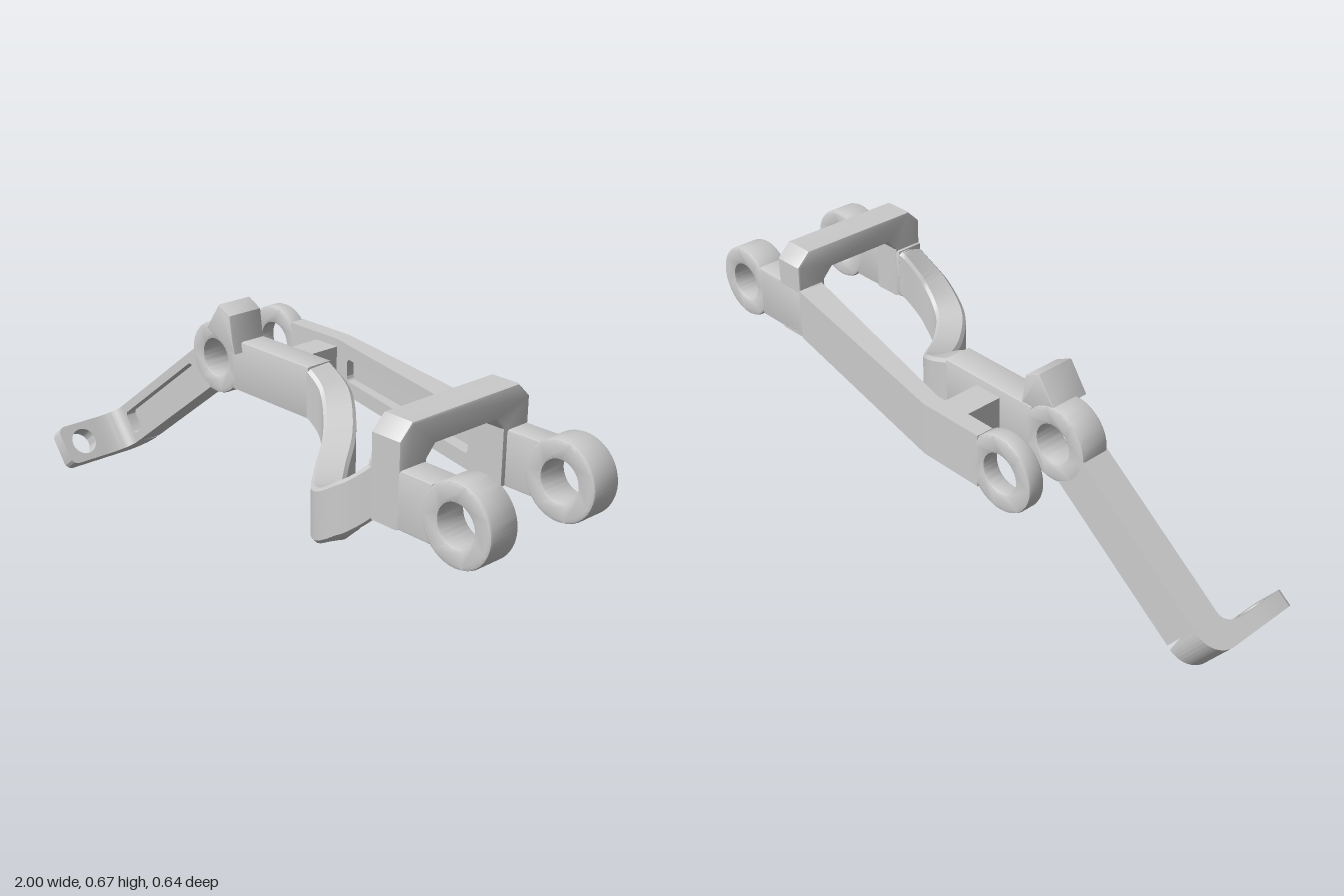
import * as THREE from 'three';
import { toCreasedNormals } from 'three/addons/utils/BufferGeometryUtils.js';

const material = new THREE.MeshStandardMaterial({ color: 0xcccccc });
const HUB_Y = 0.48, LOW = 0.4, HIGH = 0.56;

function add(parent, name, geometry) {
  const mesh = new THREE.Mesh(toCreasedNormals(geometry, 0.6), material);
  mesh.name = name;
  parent.add(mesh);
  return mesh;
}

// Plate between z0 and z1 with an optional softened edge
function plate(shape, z0, z1, bevel = 0.008) {
  return new THREE.ExtrudeGeometry(shape, {
    depth: z1 - z0 - 2 * bevel, bevelEnabled: bevel > 0, bevelThickness: bevel,
    bevelSize: bevel, bevelOffset: -bevel, bevelSegments: 2, curveSegments: 28,
  }).translate(0, 0, z0 + bevel);
}

const polygon = (pts) => new THREE.Shape(pts.map(([x, y]) => new THREE.Vector2(x, y)));
const rect = (x0, x1, y0, y1) => polygon([[x0, y0], [x1, y0], [x1, y1], [x0, y1]]);

function roundHole(x, y, r) {
  return new THREE.Path().absarc(x, y, r, 0, Math.PI * 2, true);
}

function slot(x0, x1, y0, y1, r) {
  const p = new THREE.Path();
  p.absarc(x0 + r, y0 + r, r, -Math.PI / 2, -Math.PI, true);
  p.absarc(x0 + r, y1 - r, r, Math.PI, Math.PI / 2, true);
  p.absarc(x1 - r, y1 - r, r, Math.PI / 2, 0, true);
  p.absarc(x1 - r, y0 + r, r, 0, -Math.PI / 2, true);
  p.closePath();
  return p;
}

function hub(parent, name, x, z0, z1) {
  const s = new THREE.Shape().absarc(x, HUB_Y, 0.112, 0, Math.PI * 2, false);
  s.holes.push(roundHole(x, HUB_Y, 0.058));
  add(parent, name, plate(s, z0, z1));
}

// Strip that swings forward and dips, swept from bevelled rectangular sections
function swoopGeometry() {
  const curve = (pts) => new THREE.SplineCurve(pts.map(([x, y]) => new THREE.Vector2(x, y)));
  const xs = [0, 0.1, 0.2, 0.3, 0.4, 0.5, 0.6];
  const zs = [-0.083, -0.062, 0.018, 0.143, 0.243, 0.27, 0.247];
  const drop = [0, 0.048, 0.12, 0.16, 0.153, 0.088, 0];
  const plan = curve(xs.map((x, i) => [x, zs[i]]));
  const dip = curve(xs.map((x, i) => [x, drop[i]]));
  const a = 0.046, h = 0.08, b = 0.01;
  const section = [[-a + b, -h], [a - b, -h], [a, -h + b], [a, h - b],
    [a - b, h], [-a + b, h], [-a, h - b], [-a, -h + b]];
  const steps = 48, n = section.length, positions = [], index = [];
  for (let i = 0; i <= steps; i++) {
    const t = i / steps, p = plan.getPoint(t), d = plan.getTangent(t);
    if (i === 0 || i === steps) d.set(1, 0);
    const y = HUB_Y - dip.getPoint(t).y;
    for (const [u, v] of section) positions.push(p.x - d.y * u, y + v, p.y + d.x * u);
  }
  for (let i = 0; i < steps; i++) {
    for (let j = 0; j < n; j++) {
      const k = (j + 1) % n, p = i * n + j, q = i * n + k;
      index.push(p, q, p + n, q, q + n, p + n);
    }
  }
  // End caps
  for (let j = 1; j < n - 1; j++) {
    index.push(0, j + 1, j);
    index.push(steps * n, steps * n + j, steps * n + j + 1);
  }
  // Section runs z then y, so faces are turned outward here
  for (let i = 0; i < index.length; i += 3) [index[i + 1], index[i + 2]] = [index[i + 2], index[i + 1]];
  const g = new THREE.BufferGeometry();
  g.setAttribute('position', new THREE.Float32BufferAttribute(positions, 3));
  g.setIndex(index);
  if (signedVolume(g) < 0) {
    for (let i = 0; i < index.length; i += 3) [index[i + 1], index[i + 2]] = [index[i + 2], index[i + 1]];
    g.setIndex(index);
  }
  return g;
}

function signedVolume(g) {
  const p = g.attributes.position, ix = g.index.array;
  const [a, b, c] = [0, 1, 2].map(() => new THREE.Vector3());
  let v = 0;
  for (let i = 0; i < ix.length; i += 3) {
    a.fromBufferAttribute(p, ix[i]);
    b.fromBufferAttribute(p, ix[i + 1]);
    c.fromBufferAttribute(p, ix[i + 2]);
    v += a.dot(b.cross(c));
  }
  return v;
}

// Remap an extrusion of unit depth to the slanted, thickening part of the rear arm
function slant(g) {
  const p = g.attributes.position;
  for (let i = 0; i < p.count; i++) {
    const f = (p.getX(i) + 0.12) / 0.72;
    const outer = THREE.MathUtils.lerp(-0.325, -0.185, f);
    const inner = THREE.MathUtils.lerp(-0.272, -0.1, f);
    p.setZ(i, THREE.MathUtils.lerp(outer, inner, p.getZ(i)));
  }
  return g;
}

export function createModel() {
  const model = new THREE.Group();

  // Front arm
  const front = new THREE.Group();
  front.name = 'frontArm';
  hub(front, 'frontElbowHub', -0.41, -0.13, -0.035);
  add(front, 'frontStraightBar', plate(rect(-0.33, 0.01, LOW, HIGH), -0.13, -0.035));
  add(front, 'swoopingStrip', swoopGeometry());
  add(front, 'frontEndBar', plate(rect(0.59, 0.805, LOW, HIGH), 0.2, 0.293));
  hub(front, 'frontEndHub', 0.885, 0.198, 0.295);
  add(front, 'stopTab', plate(polygon([[-0.28, 0.53], [-0.29, 0.57], [-0.3, 0.645],
    [-0.35, 0.67], [-0.41, 0.585]]), -0.125, -0.003, 0.004));

  // Rear arm with a long pocket on its inner face
  const rear = new THREE.Group();
  rear.name = 'rearArm';
  hub(rear, 'rearElbowHub', -0.41, -0.325, -0.272);
  add(rear, 'rearStraightBar', plate(rect(-0.33, -0.12, LOW, HIGH), -0.325, -0.272, 0));
  const slantFace = rect(-0.12, 0.6, LOW, HIGH);
  add(rear, 'rearSlantedWeb', slant(plate(slantFace, 0, 0.5, 0)));
  slantFace.holes.push(slot(-0.06, 0.56, 0.445, 0.515, 0.015));
  add(rear, 'rearSlantedRim', slant(plate(slantFace, 0.5, 1, 0)));
  add(rear, 'rearEndBar', plate(rect(0.59, 0.805, LOW, HIGH), -0.183, -0.1));
  hub(rear, 'rearEndHub', 0.885, -0.183, -0.086);

  // Peg between the two arms
  add(model, 'crossPeg', new THREE.BoxGeometry(0.09, 0.11, 0.17).translate(-0.165, HUB_Y, -0.205));

  // Chamfered bridge over the right end
  const bridge = polygon([[0.295, LOW], [0.295, 0.635], [0.253, 0.677], [-0.14, 0.677],
    [-0.183, 0.635], [-0.183, LOW], [-0.086, LOW], [-0.086, 0.565], [-0.055, 0.598],
    [0.168, 0.598], [0.198, 0.565], [0.198, LOW]]);
  add(model, 'bridge', plate(bridge, -0.05, 0.05).rotateY(-Math.PI / 2).translate(0.65, 0, 0));

  // Lower arm, built along its own length from the elbow
  const lower = new THREE.Group();
  lower.name = 'lowerArm';
  lower.position.set(-0.41, HUB_Y, 0);
  lower.rotation.z = Math.PI + 0.655;
  const w = 0.066, end = 0.693;
  const blade = rect(0.085, 0.6, -w, w);
  add(lower, 'lowerArmWeb', plate(blade, -0.13, -0.07, 0));
  blade.holes.push(slot(0.13, 0.587, -0.038, 0.038, 0.012));
  add(lower, 'lowerArmRim', plate(blade, -0.07, -0.035, 0));

  // Rounded bend
  const bend = new THREE.Shape();
  bend.moveTo(0.595, -0.13);
  bend.absarc(end - 0.08, -0.05, 0.08, -Math.PI / 2, 0, false);
  bend.lineTo(end, 0.06);
  bend.lineTo(end - 0.05, 0.06);
  bend.quadraticCurveTo(end - 0.05, -0.035, 0.595, -0.035);
  bend.closePath();
  add(lower, 'bend', plate(bend, -w, w, 0).rotateX(Math.PI / 2));

  // Flange with a bolt hole
  const flange = new THREE.Shape();
  flange.moveTo(-w, 0.06);
  flange.lineTo(w, 0.06);
  flange.absarc(w - 0.025, 0.173, 0.025, 0, Math.PI / 2, false);
  flange.absarc(-w + 0.025, 0.173, 0.025, Math.PI / 2, Math.PI, false);
  flange.closePath();
  flange.holes.push(roundHole(0, 0.124, 0.043));
  const toArm = new THREE.Matrix4().makeBasis(new THREE.Vector3(0, 1, 0),
    new THREE.Vector3(0, 0, 1), new THREE.Vector3(1, 0, 0));
  add(lower, 'flange', plate(flange, end - 0.05, end, 0).applyMatrix4(toArm));

  model.add(front, rear, lower);
  return model;
}
